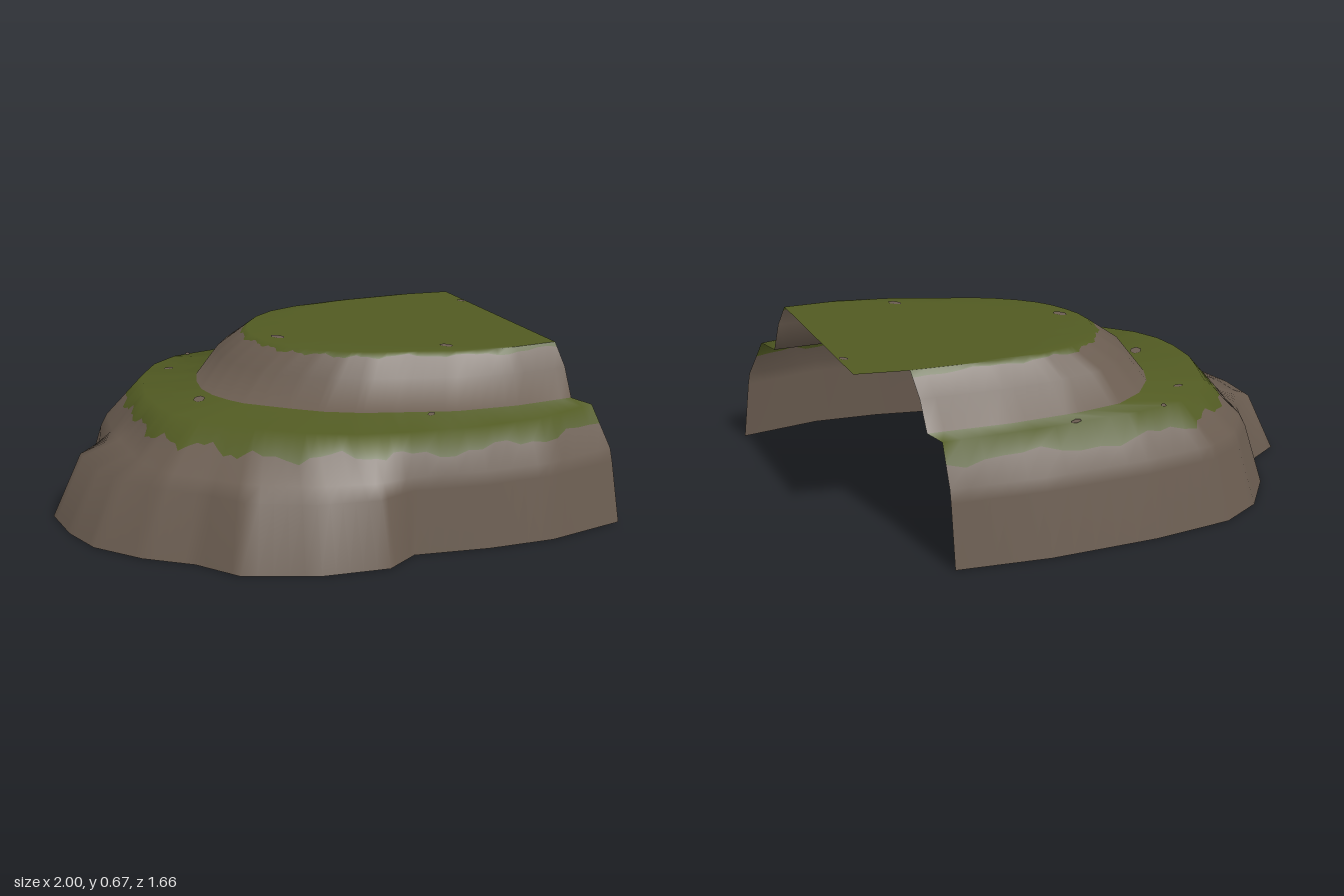
import * as THREE from 'three';

const rock = new THREE.MeshStandardMaterial({ name: 'brown rock', color: 0x6a5c50, side: THREE.DoubleSide });
const grass = new THREE.MeshStandardMaterial({ name: 'moss green grass', color: 0x515a22, side: THREE.DoubleSide });

// Outlines (x, z), from the front open end round the hill to the back open end
const BASE = [1, 0.79, 0.67, 0.825, 0.4, 0.79, 0.11, 0.72, -0.03, 0.79, -0.29, 0.74, -0.56, 0.61,
  -0.67, 0.44, -0.83, 0.3, -0.96, 0.12, -1, -0.05, -1, -0.25, -0.85, -0.34, -0.77, -0.54,
  -0.63, -0.72, -0.46, -0.81, -0.14, -0.835, 0.29, -0.82, 0.65, -0.765];
const EDGE = [0.94, 0.65, 0.67, 0.7, 0.4, 0.68, 0.14, 0.62, -0.05, 0.56, -0.22, 0.46, -0.37, 0.33,
  -0.45, 0.24, -0.54, 0.14, -0.59, 0.03, -0.605, -0.08, -0.6, -0.22, -0.57, -0.33, -0.52, -0.48,
  -0.42, -0.6, -0.3, -0.67, -0.08, -0.69, 0.29, -0.685, 0.65, -0.66];
const FOOT = [0.915, 0.545, 0.67, 0.535, 0.42, 0.49, 0.2, 0.4, 0.08, 0.35, -0.05, 0.27, -0.15, 0.18,
  -0.23, 0.1, -0.29, 0.04, -0.33, -0.03, -0.36, -0.11, -0.37, -0.2, -0.35, -0.3, -0.31, -0.4,
  -0.22, -0.51, -0.1, -0.58, 0.08, -0.6, 0.35, -0.595, 0.67, -0.56];
const TOP = [0.89, 0.45, 0.67, 0.44, 0.47, 0.385, 0.3, 0.31, 0.17, 0.26, 0.08, 0.21, 0, 0.15,
  -0.06, 0.09, -0.1, 0.03, -0.13, -0.04, -0.15, -0.11, -0.155, -0.19, -0.135, -0.27, -0.1, -0.34,
  -0.03, -0.41, 0.06, -0.46, 0.19, -0.485, 0.4, -0.485, 0.69, -0.455];
// How far in the wall's shoulder sits between base and terrace edge
const SHOULDER = [0.38, 0.38, 0.38, 0.38, 0.48, 0.5, 0.48, 0.42, 0.45, 0.58, 0.67, 0.68, 0.5,
  0.4, 0.38, 0.38, 0.38, 0.38, 0.38];

const SUB = 5;
const COLS = (SHOULDER.length - 1) * SUB + 1;

// Value of a table with the given stride at a subdivided column
function sample(table, col, stride = 1, offset = 0) {
  const i = Math.min(Math.floor(col / SUB), SHOULDER.length - 2);
  return THREE.MathUtils.lerp(table[i * stride + offset], table[(i + 1) * stride + offset], col / SUB - i);
}
const point = (table, col, y) => new THREE.Vector3(sample(table, col, 2), y, sample(table, col, 2, 1));
const wave = (c) => 0.5 * Math.sin(c * 0.9) + 0.3 * Math.sin(c * 2.3 + 1) + 0.2 * Math.sin(c * 0.37);

// One column of the hill, from the ground up to the open edge of the plateau
function profile(c) {
  const base = point(BASE, c, 0), edge = point(EDGE, c, 0.46);
  const foot = point(FOOT, c, 0.46), top = point(TOP, c, 0.67);
  const between = (a, b, t, y) => {
    const p = a.clone().lerp(b, t);
    if (y !== undefined) p.y = y;
    return p;
  };
  const low = between(base, edge, 0.3, 0.25);
  const shoulder = between(base, edge, sample(SHOULDER, c), 0.3);
  const grassLine = between(shoulder, edge, 0.52 + 0.17 * wave(c));
  const riser = between(foot, top, 0.42, 0.58);
  const lip = between(riser, top, 0.82 + 0.1 * wave(c + 7));
  const rim = new THREE.Vector3(0.89, 0.67, THREE.MathUtils.clamp(top.z, -0.41, 0.45));
  return [base, low, shoulder, grassLine, edge, foot, riser, lip, top, between(top, rim, 0.25), rim];
}

// Hill shell, open below and at one end; one smooth skin with two materials
function buildHill() {
  const positions = [], index = [];
  let rows = 0;
  for (let c = 0; c < COLS; c++) {
    const column = profile(c);
    rows = column.length;
    column.forEach((p) => positions.push(p.x, p.y, p.z));
  }
  const geometry = new THREE.BufferGeometry();
  for (let r = 0; r < rows - 1; r++) {
    const start = index.length;
    for (let c = 0; c < COLS - 1; c++) {
      const a = c * rows + r, b = a + 1, d = a + rows, e = d + 1;
      index.push(a, b, d, b, e, d);
    }
    const isGrass = r === 3 || r === 4 || r >= 7;
    geometry.addGroup(start, index.length - start, isGrass ? 1 : 0);
  }
  geometry.setAttribute('position', new THREE.Float32BufferAttribute(positions, 3));
  geometry.setIndex(index);
  geometry.computeVertexNormals();
  const hill = new THREE.Mesh(geometry, [rock, grass]);
  hill.name = 'terracedHill';
  return hill;
}

// Small bare patches showing through the grass: x, z, level, size, turn
function buildPatches() {
  const group = new THREE.Group();
  group.name = 'barePatches';
  const spots = [
    [0.13, -0.68, 0.46, 0.024, 0.5], [-0.24, -0.67, 0.46, 0.016, 1.2], [-0.39, -0.51, 0.46, 0.02, 0],
    [-0.43, -0.08, 0.46, 0.036, 1], [0.31, 0.48, 0.46, 0.022, 0.8], [-0.08, -0.09, 0.67, 0.03, -1],
    [0.47, 0.31, 0.67, 0.028, -0.9], [0.87, -0.24, 0.67, 0.02, -1],
  ];
  for (const [x, z, y, size, turn] of spots) {
    const shape = new THREE.CircleGeometry(size, 6).scale(1.1, 0.65, 1).rotateX(-Math.PI / 2).rotateY(turn);
    const patch = new THREE.Mesh(shape, rock);
    patch.name = 'barePatch';
    patch.position.set(x, y + 0.003, z);
    group.add(patch);
  }
  return group;
}

export function createModel() {
  const model = new THREE.Group();
  model.name = 'grassyHill';
  model.add(buildHill(), buildPatches());
  return model;
}
